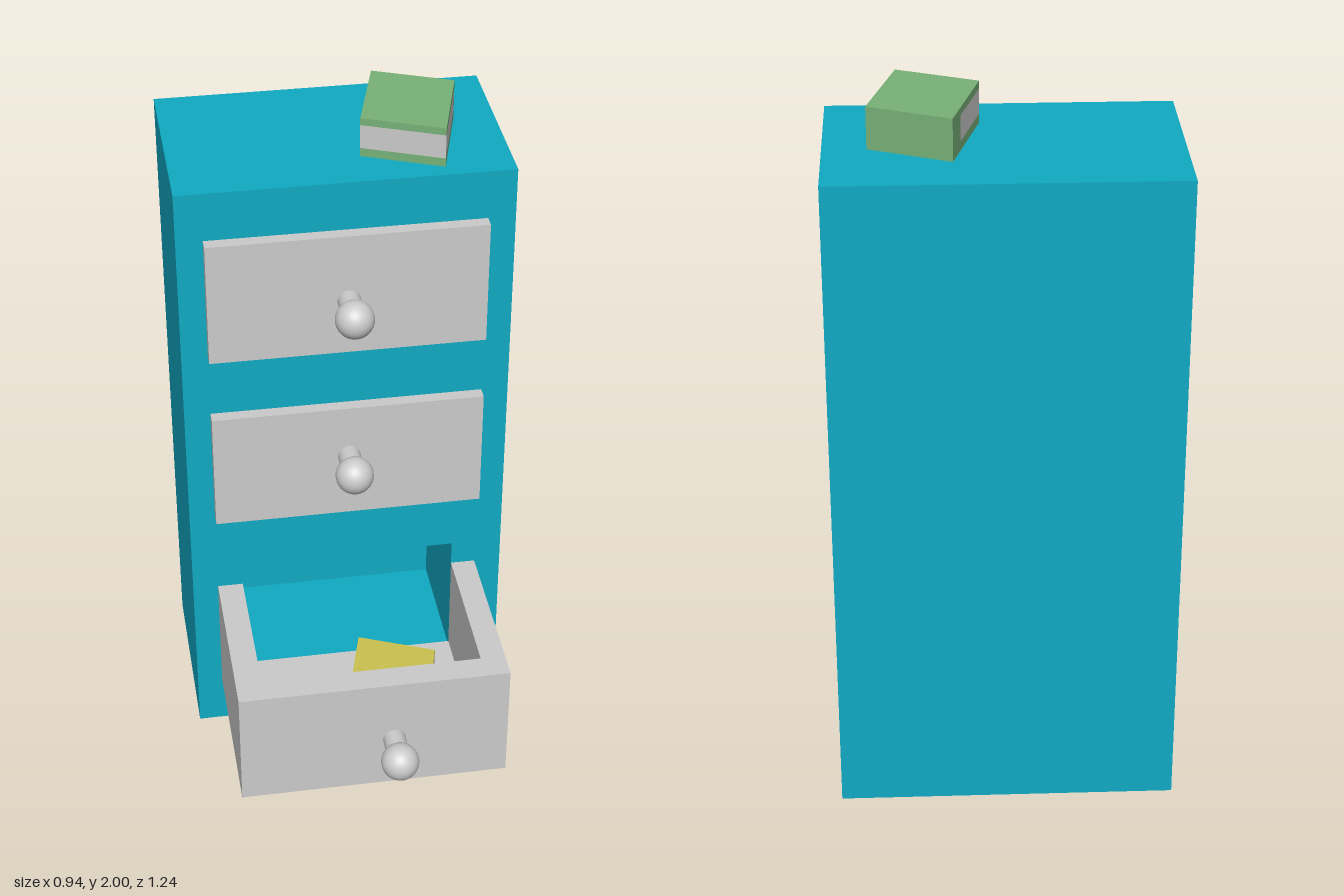
import * as THREE from 'three';

const mat = (color) => new THREE.MeshStandardMaterial({ color });
const grey = mat(0xcccccc);
const teal = mat(0x10aac4);
const green = mat(0x78b278);
const yellow = mat(0xcbc24f);

function add(parent, name, geometry, material) {
  const mesh = new THREE.Mesh(geometry, material);
  mesh.name = name;
  parent.add(mesh);
  return mesh;
}

// Box given by its lower and upper limits
function box(parent, name, material, [x0, x1], [y0, y1], [z0, z1]) {
  const mesh = add(parent, name, new THREE.BoxGeometry(x1 - x0, y1 - y0, z1 - z0), material);
  mesh.position.set((x0 + x1) / 2, (y0 + y1) / 2, (z0 + z1) / 2);
  return mesh;
}

const rect = (Type, x0, x1, y0, y1) => new Type([
  new THREE.Vector2(x0, y0), new THREE.Vector2(x1, y0),
  new THREE.Vector2(x1, y1), new THREE.Vector2(x0, y1),
]);

// Round knob on a short stem, pointing forward from z
function knob(parent, x, y, z) {
  const group = new THREE.Group();
  group.name = 'knob';
  const stem = add(group, 'knobStem', new THREE.CylinderGeometry(0.033, 0.033, 0.08, 24), grey);
  stem.rotation.x = Math.PI / 2;
  stem.position.z = 0.04;
  const ball = add(group, 'knobBall', new THREE.SphereGeometry(0.055, 32, 20), grey);
  ball.position.z = 0.1;
  group.position.set(x, y, z);
  parent.add(group);
}

// Slightly skewed book: two covers, a spine at the back and a page block
function book(name, material, x, y, z) {
  const group = new THREE.Group();
  group.name = name;
  // s runs across the cover, t from spine to front edge
  const at = (s, t) => new THREE.Vector2(0.22 * s - 0.0755 * t, -(0.095 * s + 0.2755 * t));
  const slab = (part, corners, y0, height, m) => {
    const shape = new THREE.Shape(corners.map(([s, t]) => at(s, t)));
    const geo = new THREE.ExtrudeGeometry(shape, { depth: height, bevelEnabled: false });
    add(group, part, geo.rotateX(-Math.PI / 2), m).position.y = y0;
  };
  const cover = [[-0.5, -0.5], [-0.5, 0.5], [0.5, 0.5], [0.5, -0.5]];
  slab('bottomCover', cover, 0, 0.025, material);
  slab('topCover', cover, 0.095, 0.021, material);
  slab('spine', [[-0.5, -0.5], [-0.5, -0.22], [0.5, -0.47], [0.5, -0.5]], 0.025, 0.07, material);
  slab('pages', [[-0.5, -0.22], [-0.5, 0.5], [0.5, 0.5], [0.5, -0.47]], 0.025, 0.07, grey);
  group.position.set(x, y, z);
  return group;
}

export function createModel() {
  const model = new THREE.Group();
  model.name = 'drawerCabinet';

  // Cabinet body with the bottom opening
  const cabinet = new THREE.Group();
  cabinet.name = 'cabinet';
  model.add(cabinet);
  const face = rect(THREE.Shape, -0.47, 0.47, 0, 1.88);
  face.holes.push(rect(THREE.Path, -0.32, 0.32, 0.2, 0.605));
  const body = new THREE.ExtrudeGeometry(face, { depth: 0.38, bevelEnabled: false });
  add(cabinet, 'cabinetBody', body, teal).position.z = -0.435;
  box(cabinet, 'cabinetBack', teal, [-0.47, 0.47], [0, 1.88], [-0.62, -0.435]);

  // Two closed drawers
  for (const [y0, y1, knobY] of [[1.36, 1.735, 1.53], [0.795, 1.165, 1.0]]) {
    const drawer = new THREE.Group();
    drawer.name = 'closedDrawer';
    box(drawer, 'drawerFront', grey, [-0.395, 0.392], [y0, y1], [-0.055, -0.018]);
    knob(drawer, 0, knobY, -0.02);
    model.add(drawer);
  }

  // Pulled-out drawer: U-shaped walls over a floor
  const open = new THREE.Group();
  open.name = 'openDrawer';
  model.add(open);
  const walls = new THREE.Shape([
    [-0.395, 0.055], [-0.395, -0.468], [0.392, -0.468], [0.392, 0.055],
    [0.32, 0.055], [0.32, -0.392], [-0.32, -0.392], [-0.32, 0.055],
  ].map(([x, y]) => new THREE.Vector2(x, y)));
  const wallGeo = new THREE.ExtrudeGeometry(walls, { depth: 0.375, bevelEnabled: false });
  add(open, 'drawerWalls', wallGeo.rotateX(-Math.PI / 2), grey).position.y = 0.155;
  box(open, 'drawerFloor', grey, [-0.32, 0.32], [0.155, 0.215], [-0.055, 0.392]);
  knob(open, 0.055, 0.325, 0.466);

  // Books on the cabinet and in the open drawer
  model.add(book('greenBook', green, 0.206, 1.88, -0.285));
  model.add(book('yellowBook', yellow, 0.095, 0.216, 0.202));

  return model;
}
